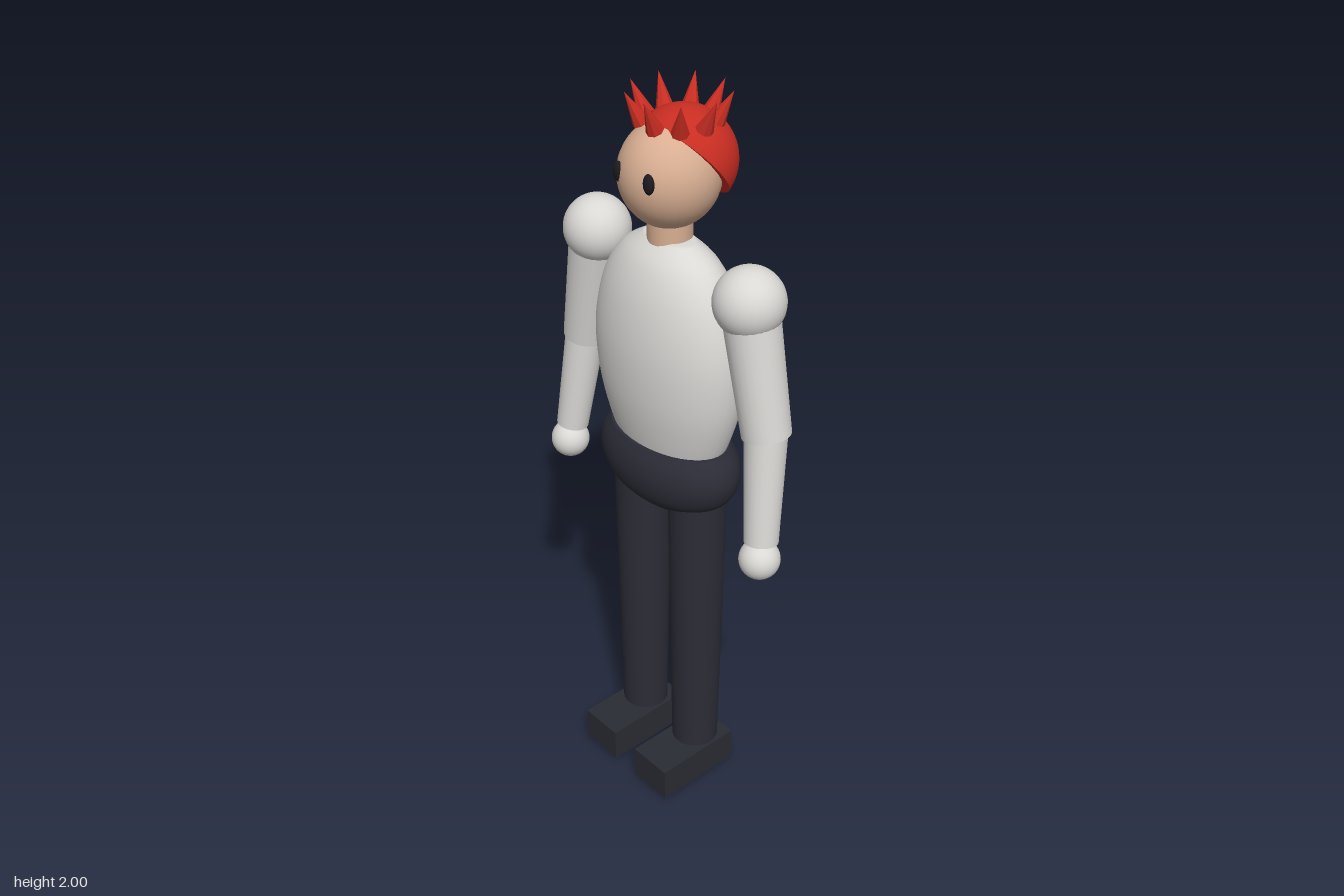
import * as THREE from 'three';

const mat = (name, color) => {
  const m = new THREE.MeshStandardMaterial({ color });
  m.name = name;
  return m;
};

export function createModel() {
  const shirt = mat('pale grey shirt', 0xd9d8d5);
  const cloth = mat('dark trousers', 0x2c2c37);
  const leather = mat('dark shoes', 0x2a2c34);
  const skin = mat('skin', 0xd8ae92);
  const red = mat('red hair', 0xc92d22);
  const black = mat('black eyes', 0x1b1b20);

  const model = new THREE.Group();
  model.name = 'figure';
  const add = (name, geometry, material, x = 0, y = 0, z = 0) => {
    const mesh = new THREE.Mesh(geometry, material);
    mesh.name = name;
    mesh.position.set(x, y, z);
    model.add(mesh);
    return mesh;
  };
  const ball = (r) => new THREE.SphereGeometry(r, 32, 24);

  // Tapered tube from point a (radius ra) to point b (radius rb)
  const limb = (name, a, b, ra, rb, material, geometry) => {
    const from = new THREE.Vector3(...a), to = new THREE.Vector3(...b);
    const dir = to.clone().sub(from);
    const geo = geometry || new THREE.CylinderGeometry(rb, ra, dir.length(), 24);
    const mesh = add(name, geo, material);
    mesh.position.copy(from).addScaledVector(dir, 0.5);
    mesh.quaternion.setFromUnitVectors(new THREE.Vector3(0, 1, 0), dir.normalize());
    return mesh;
  };

  // Smooth lathe from profile points listed bottom to top, flattened in z
  const body = (name, points, material, depth) => {
    const curve = new THREE.SplineCurve(points.map(([x, y]) => new THREE.Vector2(x, y)));
    const profile = curve.getPoints(36).map((p) => new THREE.Vector2(Math.max(p.x, 0), p.y));
    profile.push(new THREE.Vector2(0, profile[profile.length - 1].y));
    const geo = new THREE.LatheGeometry(profile, 40);
    geo.scale(1, 1, depth);
    return add(name, geo, material);
  };

  // Torso and hips
  body('torso', [[0.15, 1.04], [0.184, 1.1], [0.222, 1.22], [0.235, 1.34], [0.225, 1.44],
    [0.195, 1.53], [0.145, 1.6], [0.075, 1.645]], shirt, 0.6);
  body('hips', [[0, 0.866], [0.06, 0.872], [0.14, 0.912], [0.2, 0.955], [0.224, 1.01],
    [0.217, 1.06], [0.188, 1.1]], cloth, 0.62);

  // Neck and head
  add('neck', new THREE.CylinderGeometry(0.056, 0.056, 0.1, 24), skin, 0, 1.67, 0);
  add('head', ball(1), skin, 0, 1.803, 0).scale.set(0.124, 0.132, 0.127);

  // Hair cap: half sphere tipped towards the back, closed underneath
  const cap = add('hairCap', new THREE.SphereGeometry(0.131, 40, 20, 0, Math.PI * 2, 0, Math.PI / 2),
    red, 0, 1.825, -0.042);
  cap.rotation.x = -0.86;
  const capBase = add('hairCapBase', new THREE.CircleGeometry(0.131, 40), red, 0, 1.825, -0.042);
  capBase.rotation.x = Math.PI / 2 - 0.86;

  // Crown of spikes leaning outwards
  const spike = new THREE.ConeGeometry(0.022, 0.086, 8).toNonIndexed();
  spike.computeVertexNormals();
  for (let i = 0; i < 9; i++) {
    const a = (i / 9) * Math.PI * 2, c = Math.cos(a), s = Math.sin(a);
    limb('hairSpike', [0.087 * c, 1.924, -0.027 + 0.087 * s],
      [0.127 * c, 2, -0.027 + 0.127 * s], 0, 0, red, spike);
  }

  // Paired parts
  for (const s of [1, -1]) {
    const side = s > 0 ? 'left' : 'right';
    add(side + 'Eye', ball(1), black, s * 0.053, 1.82, 0.112).scale.set(0.016, 0.025, 0.011);

    add(side + 'Shoulder', ball(0.088), shirt, s * 0.275, 1.57, 0);
    limb(side + 'UpperArm', [s * 0.275, 1.57, 0], [s * 0.341, 1.238, -0.006], 0.071, 0.062, shirt);
    limb(side + 'Forearm', [s * 0.341, 1.25, -0.004], [s * 0.372, 0.955, 0.03], 0.054, 0.044, shirt);
    add(side + 'Hand', ball(0.053), shirt, s * 0.376, 0.906, 0.037);

    add(side + 'Leg', new THREE.CylinderGeometry(0.078, 0.065, 0.86, 28), cloth, s * 0.108, 0.54, 0);
    add(side + 'Shoe', new THREE.BoxGeometry(0.13, 0.1, 0.26), leather, s * 0.108, 0.05, 0.044);
  }
  return model;
}
